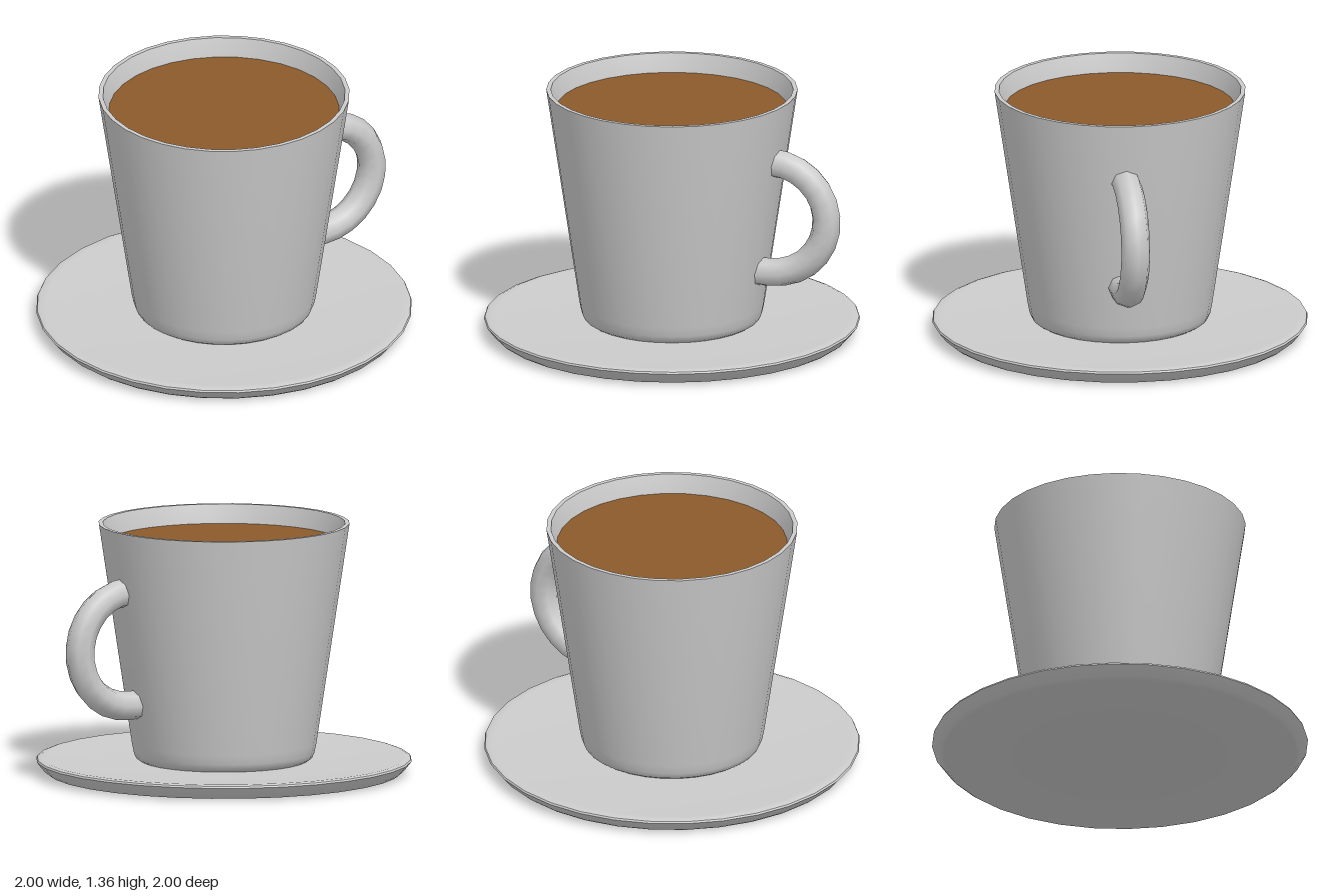
import * as THREE from 'three';
import { toCreasedNormals } from 'three/addons/utils/BufferGeometryUtils.js';

const SIDES = 32;

export function createModel() {
  const model = new THREE.Group();
  const ceramic = new THREE.MeshStandardMaterial({ color: 0xcccccc });
  const brown = new THREE.MeshStandardMaterial({ color: 0x8b5a2b });

  const add = (name, geometry, material) => {
    const mesh = new THREE.Mesh(geometry, material);
    mesh.name = name;
    model.add(mesh);
    return mesh;
  };

  // Turned shape from [radius, y] pairs, with flats facing the axes
  const turned = (profile, crease = 0.7) => toCreasedNormals(
    new THREE.LatheGeometry(profile.map(([r, y]) => new THREE.Vector2(r, y)), SIDES, Math.PI / SIDES),
    crease,
  );

  // Saucer: shallow dish with a bevelled edge
  add('saucer', turned([
    [0, 0], [0.45, 0], [0.945, 0.01], [0.965, 0.025], [1.005, 0.075],
    [1.0, 0.085], [0.98, 0.092], [0.95, 0.09], [0.5, 0.075], [0, 0.075],
  ]), ceramic);

  // Cup: tapered outside, narrow rim, hollow inside
  add('cup', turned([
    [0, 0.076], [0.45, 0.076], [0.472, 0.09], [0.485, 0.12], [0.495, 0.17],
    [0.672, 1.355], [0.648, 1.355], [0.615, 1.25], [0.46, 0.19], [0.43, 0.15], [0, 0.15],
  ]), ceramic);

  // Drink surface, just below the rim
  const drink = add('drink', new THREE.CircleGeometry(0.617, SIDES), brown);
  drink.rotation.set(-Math.PI / 2, 0, Math.PI / SIDES);
  drink.position.y = 1.255;

  // Handle: half ring whose straight ends run into the cup wall
  const path = [new THREE.Vector3(0.485, 0.408, 0.08)];
  for (let i = 0; i <= 12; i++) {
    const a = -Math.PI / 2 + (Math.PI * i) / 12;
    path.push(new THREE.Vector3(0.578 + 0.307 * Math.cos(a), 0.715 + 0.307 * Math.sin(a), 0.08));
  }
  const curve = new THREE.CatmullRomCurve3(path);
  add('handle', new THREE.TubeGeometry(curve, 14, 0.078, 8), ceramic);

  return model;
}
